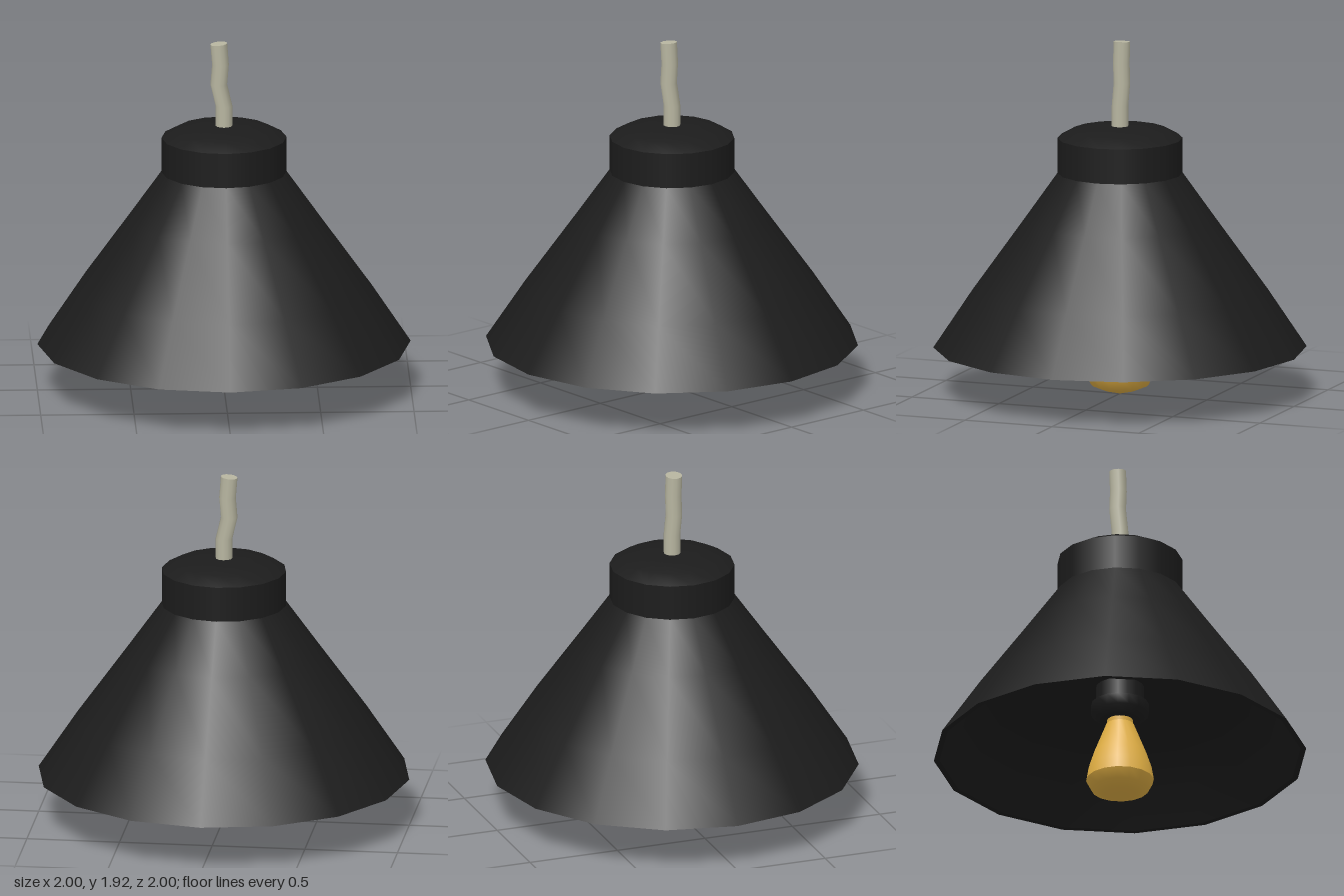
import * as THREE from 'three';

const SIDES = 16;

export function createModel() {
  const lamp = new THREE.Group();
  lamp.name = 'pendantLamp';

  const black = new THREE.MeshStandardMaterial({ color: 0x1c1c1c });
  black.name = 'black enamel';
  const amber = new THREE.MeshStandardMaterial({ color: 0xe2b044 });
  amber.name = 'amber glass';
  const grey = new THREE.MeshStandardMaterial({ color: 0xb7b5a0 });
  grey.name = 'grey cord';

  // Each profile is one smooth band of [radius, height]; bands meet at hard edges.
  const turned = (name, material, ...bands) => {
    const part = new THREE.Group();
    part.name = name;
    bands.forEach((band, i) => {
      const points = band.map(([r, y]) => new THREE.Vector2(r, y));
      const mesh = new THREE.Mesh(new THREE.LatheGeometry(points, SIDES), material);
      mesh.name = `${name}Band${i + 1}`;
      part.add(mesh);
    });
    lamp.add(part);
  };

  // Conical shade: outside, rim, and an inside that follows the wall up to a low ceiling
  turned('shade', black,
    [[1, 0.255], [0.79, 0.57], [0.52, 0.945], [0.335, 1.205]],
    [[0.97, 0.255], [1, 0.255]],
    [[0, 0.65], [0.13, 0.65], [0.55, 0.64], [0.73, 0.58], [0.85, 0.44], [0.97, 0.255]]);

  // Collar with a shallow domed top
  turned('collar', black,
    [[0.335, 1.205], [0.335, 1.395]],
    [[0.335, 1.395], [0.257, 1.438], [0.14, 1.46], [0, 1.46]]);

  // Bulb holder hanging from the ceiling of the shade
  turned('socket', black,
    [[0, 0.455], [0.11, 0.455]],
    [[0.11, 0.455], [0.155, 0.49], [0.155, 0.55]],
    [[0.155, 0.55], [0.13, 0.56]],
    [[0.13, 0.56], [0.13, 0.65]]);

  // Bulb: rounded tip, tapering body, short neck
  turned('bulb', amber,
    [[0, 0], [0.09, 0.022], [0.155, 0.05], [0.182, 0.103]],
    [[0.182, 0.103], [0.17, 0.175], [0.142, 0.26], [0.075, 0.43]],
    [[0.07, 0.43], [0.07, 0.46]]);

  // Kinked cord: rings of a cylinder shifted along a short path
  const path = [[0, 1.44], [0, 1.57], [-0.028, 1.69], [-0.019, 1.8], [-0.028, 1.915]];
  const steps = path.length - 1;
  const cordGeometry = new THREE.CylinderGeometry(0.045, 0.045, steps, 12, steps);
  const position = cordGeometry.attributes.position;
  for (let i = 0; i < position.count; i++) {
    const ring = Math.round(position.getY(i) + steps / 2);
    const x = position.getX(i);
    const tilt = ring === steps ? x * 0.1 : 0;
    position.setX(i, x + path[ring][0]);
    position.setY(i, path[ring][1] + tilt);
  }
  const cord = new THREE.Mesh(cordGeometry, grey);
  cord.name = 'cord';
  lamp.add(cord);

  return lamp;
}
